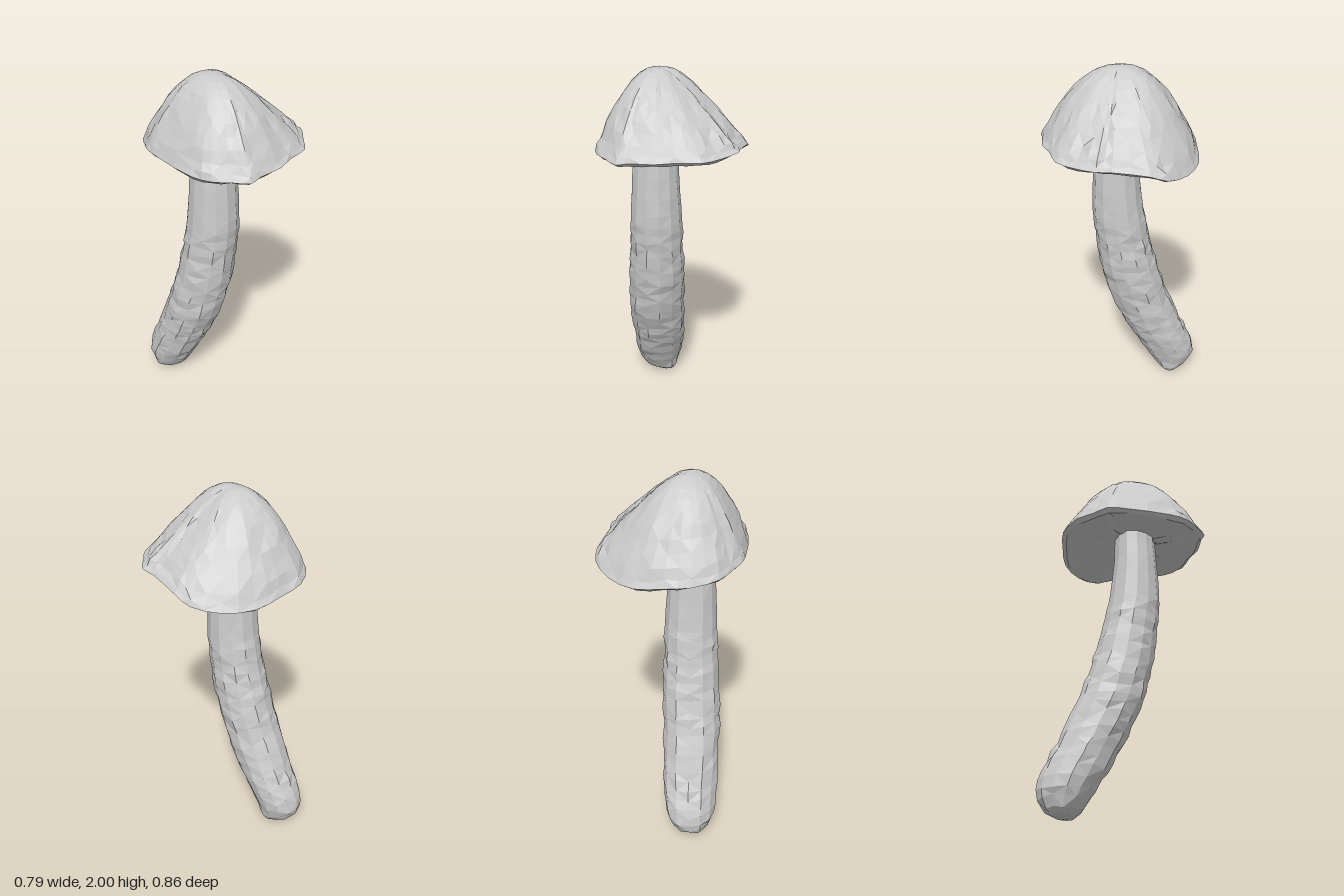
import * as THREE from 'three';

// Small seeded noise in -1..1
let seed = 11;
const noise = () => {
  seed = (seed * 16807) % 2147483647;
  return (seed / 2147483647) * 2 - 1;
};

// Skin rings of points, ordered bottom to top, each running from +x towards +z
function loft(rings) {
  const n = rings[0].length;
  const pos = [];
  const tri = (a, b, c) => {
    if (a.distanceTo(b) < 1e-6 || b.distanceTo(c) < 1e-6 || c.distanceTo(a) < 1e-6) return;
    for (const p of [a, b, c]) pos.push(p.x, p.y, p.z);
  };
  for (let r = 0; r < rings.length - 1; r++) {
    for (let i = 0; i < n; i++) {
      const k = (i + 1) % n;
      const a = rings[r][i], b = rings[r][k], c = rings[r + 1][k], d = rings[r + 1][i];
      if ((i + r) % 2) { tri(a, d, b); tri(b, d, c); } else { tri(a, d, c); tri(a, c, b); }
    }
  }
  const g = new THREE.BufferGeometry();
  g.setAttribute('position', new THREE.Float32BufferAttribute(pos, 3));
  g.computeVertexNormals();
  return g;
}

const material = new THREE.MeshStandardMaterial({ color: 0xcccccc, flatShading: true, roughness: 0.9 });

// Bent stem: y, left x, right x, back z, front z
function makeStem() {
  const keys = [
    [0.01, -0.31, -0.14, -0.345, -0.245],
    [0.04, -0.34, -0.125, -0.39, -0.205],
    [0.11, -0.37, -0.11, -0.432, -0.155],
    [0.2, -0.367, -0.08, -0.428, -0.1],
    [0.4, -0.335, -0.03, -0.337, 0.0],
    [0.6, -0.31, 0.005, -0.262, 0.08],
    [0.8, -0.28, 0.035, -0.202, 0.125],
    [1.0, -0.25, 0.045, -0.152, 0.147],
    [1.2, -0.23, 0.05, -0.117, 0.167],
    [1.4, -0.217, 0.04, -0.092, 0.157],
    [1.62, -0.2, 0.028, -0.085, 0.14],
  ];
  const at = (y) => {
    let i = 0;
    while (i < keys.length - 2 && keys[i + 1][0] < y) i++;
    const t = (y - keys[i][0]) / (keys[i + 1][0] - keys[i][0]);
    return keys[i].map((v, j) => THREE.MathUtils.lerp(v, keys[i + 1][j], t));
  };
  const heights = [0.01, 0.04, 0.085];
  for (let y = 0.13; y < 1.2; y += 0.048) heights.push(y);
  heights.push(1.25, 1.34, 1.45, 1.54, 1.62);
  const sides = 13;
  const rings = heights.map((h, row) => {
    const [y, x0, x1, z0, z1] = at(h);
    const rough = h > 1.15 ? 0.004 : 0.009;
    return Array.from({ length: sides }, (_, i) => {
      const a = (i / sides) * Math.PI * 2;
      const s = 1 + noise() * rough * 4;
      return new THREE.Vector3(
        (x0 + x1) / 2 + Math.cos(a) * s * (x1 - x0) / 2,
        y + (row ? noise() * rough : 0),
        (z0 + z1) / 2 + Math.sin(a) * s * (z1 - z0) / 2);
    });
  });
  // Close both ends
  const close = (y, x, z) => Array.from({ length: sides }, () => new THREE.Vector3(x, y, z));
  rings.unshift(close(0, -0.225, -0.295));
  rings.push(close(1.63, -0.085, 0.025));
  return loft(rings);
}

// Lopsided cap on an irregular rim
function makeCap() {
  const rimPoints = [
    [0.395, 1.645, 0.075], [0.345, 1.635, 0.18], [0.29, 1.635, 0.28], [0.18, 1.635, 0.33],
    [0.09, 1.63, 0.385], [-0.03, 1.625, 0.41], [-0.09, 1.615, 0.43], [-0.17, 1.62, 0.39],
    [-0.25, 1.62, 0.34], [-0.31, 1.62, 0.25], [-0.38, 1.63, 0.02], [-0.397, 1.635, -0.08],
    [-0.375, 1.62, -0.16], [-0.35, 1.61, -0.25], [-0.25, 1.595, -0.355], [-0.12, 1.575, -0.385],
    [0.03, 1.55, -0.4], [0.19, 1.55, -0.35], [0.31, 1.575, -0.26], [0.345, 1.61, -0.18],
    [0.37, 1.635, 0.0],
  ];
  const n = rimPoints.length * 2;
  const rim = new THREE.CatmullRomCurve3(rimPoints.map((p) => new THREE.Vector3(...p)), true, 'centripetal')
    .getPoints(n).slice(0, n);
  const apex = new THREE.Vector3(-0.07, 2, 0.015);
  const under = new THREE.Vector3(-0.07, 1.595, 0.015);
  const rings = [];

  // Nearly flat underside with a bevelled lip
  for (const r of [0, 0.3, 0.55, 0.78, 0.94]) {
    rings.push(rim.map((p) => {
      const q = under.clone().lerp(p, r);
      q.y += r ? noise() * 0.006 - 0.02 * r ** 3 : 0;
      return q;
    }));
  }
  rings.push(rim.map((p) => p.clone()));

  // Domed top, straighter towards +x
  for (const r of [0.96, 0.9, 0.82, 0.73, 0.64, 0.54, 0.44, 0.33, 0.22, 0.11, 0]) {
    rings.push(rim.map((p) => {
      const dx = p.x - apex.x, dz = p.z - apex.z;
      const side = Math.max(0, dx / Math.hypot(dx, dz)) ** 2;
      const power = 2.05 - 0.85 * side + 0.4 * (1 - r) ** 2;
      const s = r * (1 + noise() * 0.02);
      return new THREE.Vector3(
        apex.x + dx * s,
        p.y + (apex.y - p.y) * (1 - r ** power) + noise() * 0.009 * r * r,
        apex.z + dz * s);
    }));
  }
  return loft(rings);
}

export function createModel() {
  seed = 11;
  const group = new THREE.Group();
  group.name = 'mushroom';
  const add = (name, geometry) => {
    const mesh = new THREE.Mesh(geometry, material);
    mesh.name = name;
    group.add(mesh);
  };
  add('stem', makeStem());
  add('cap', makeCap());
  return group;
}
